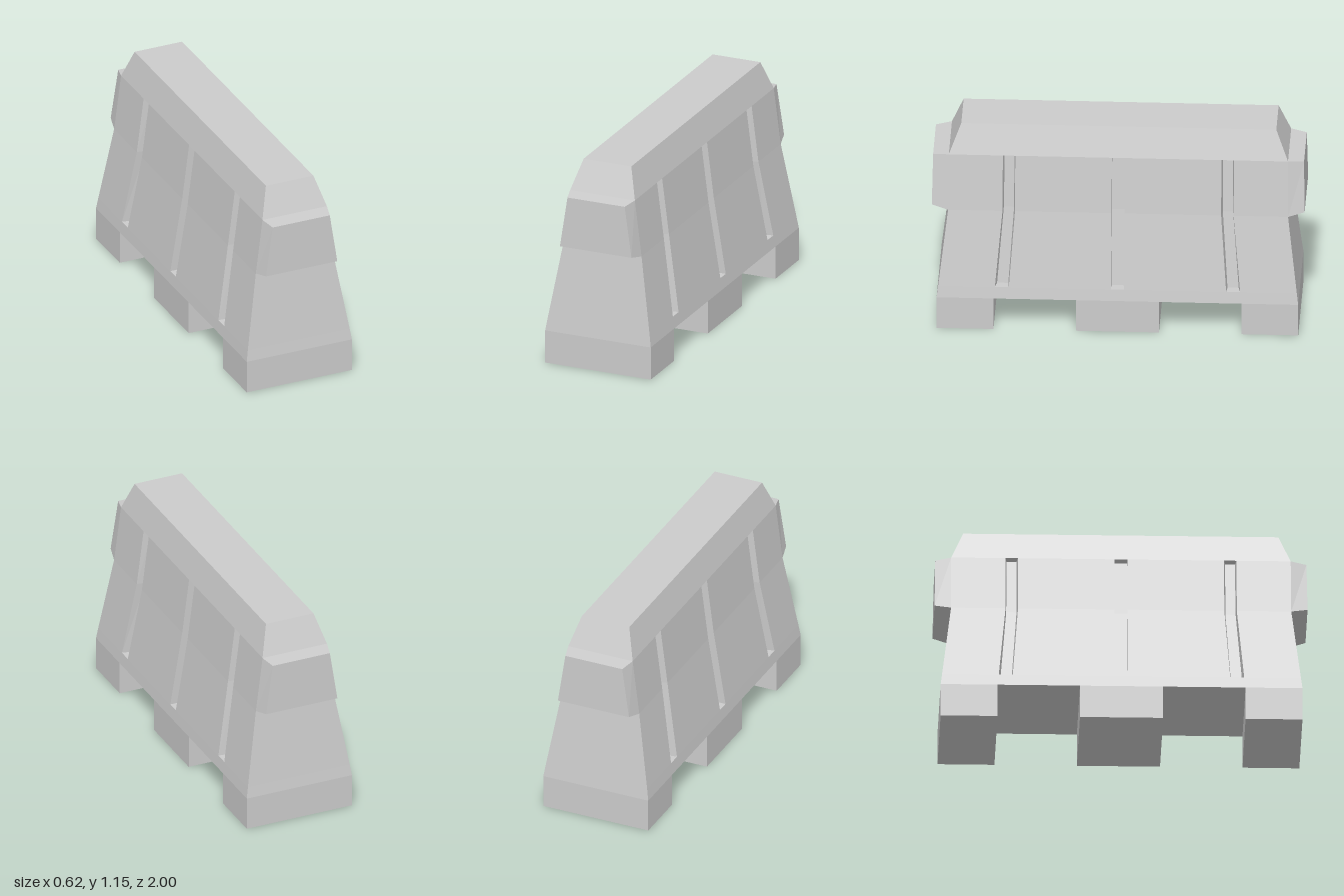
import * as THREE from 'three';

const material = new THREE.MeshStandardMaterial({ color: 0xcccccc, flatShading: true });

// Levels of the tapered body: height, half width, half length
const levels = [
  [0.185, 0.31, 0.97],
  [0.25, 0.3, 0.962],
  [0.675, 0.23, 0.912],
  [0.99, 0.19, 0.91],
  [1.155, 0.14, 0.845],
];
// Outer groove at each of the lower four levels: mouth and back wall z ranges
const grooveMouth = [[0.583, 0.658], [0.583, 0.658], [0.553, 0.62], [0.553, 0.62]];
const grooveBack = [[0.588, 0.648], [0.588, 0.648], [0.56, 0.615], [0.56, 0.612]];
const grooveHalf = 0.035;
const grooveDepth = 0.05;

// Flat mesh from four-cornered faces, corners counter-clockwise from outside
function facesMesh(name, quads) {
  const positions = [];
  for (const [a, b, c, d] of quads) positions.push(...a, ...b, ...c, ...a, ...c, ...d);
  const geometry = new THREE.BufferGeometry();
  geometry.setAttribute('position', new THREE.Float32BufferAttribute(positions, 3));
  geometry.computeVertexNormals();
  const mesh = new THREE.Mesh(geometry, material);
  mesh.name = name;
  return mesh;
}

// z of the column lines along the side at one level
function columns([near, far], end) {
  return [-end, -far, -near, -grooveHalf, grooveHalf, near, far, end];
}

// Long +x side wall, with three sunken grooves
function sideWall() {
  const wall = [], grooves = [];
  const mouth = (i, j) => [levels[i][1], levels[i][0], columns(grooveMouth[i], levels[i][2])[j]];
  const back = (i, j) => [levels[i][1] - grooveDepth, levels[i][0], columns(grooveBack[i], levels[i][2])[j]];
  for (let i = 0; i < 3; i++) {
    for (let j = 0; j < 7; j++) {
      if (i === 0 || j % 2 === 0) {
        wall.push([mouth(i, j + 1), mouth(i, j), mouth(i + 1, j), mouth(i + 1, j + 1)]);
      } else {
        grooves.push(
          [back(i, j + 1), back(i, j), back(i + 1, j), back(i + 1, j + 1)],
          [back(i, j), mouth(i, j), mouth(i + 1, j), back(i + 1, j)],
          [mouth(i, j + 1), back(i, j + 1), back(i + 1, j + 1), mouth(i + 1, j + 1)],
        );
      }
    }
  }
  // Groove floors and ceilings
  for (const j of [1, 3, 5]) {
    grooves.push([back(1, j + 1), mouth(1, j + 1), mouth(1, j), back(1, j)]);
    grooves.push([back(3, j), mouth(3, j), mouth(3, j + 1), back(3, j + 1)]);
  }
  // Sloped shoulder
  const [, , , [y0, x0, z0], [y1, x1, z1]] = levels;
  wall.push([[x0, y0, z0], [x0, y0, -z0], [x1, y1, -z1], [x1, y1, z1]]);
  return [facesMesh('sideWall', wall), facesMesh('sideGrooves', grooves)];
}

// Cross edge at one height: left and right corners
const edge = (y, x, z) => [[-x, y, z], [x, y, z]];
const between = ([a, b], [c, d]) => [a, b, d, c];

// +z end wall and its raised coupling block
function endWall() {
  const e = levels.map((level) => edge(...level));
  const lower = edge(0.695, 0.21, 1);
  const upper = edge(0.98, 0.168, 0.995);
  return [
    facesMesh('endWall', [between(e[0], e[1]), between(e[1], e[2]), between(e[3], e[4])]),
    facesMesh('endBlock', [
      between(e[2], lower),
      between(lower, upper),
      between(upper, e[3]),
      [lower[1], e[2][1], e[3][1], upper[1]],
      [e[2][0], lower[0], upper[0], e[3][0]],
    ]),
  ];
}

export function createModel() {
  const group = new THREE.Group();
  group.name = 'barrier';

  // Half of the shell, repeated by a half turn
  for (const [name, turn] of [['frontLeftShell', 0], ['backRightShell', Math.PI]]) {
    const half = new THREE.Group();
    half.name = name;
    half.add(...sideWall(), ...endWall());
    half.rotation.y = turn;
    group.add(half);
  }

  // Flat top
  const [topY, topX, topZ] = levels[4];
  group.add(facesMesh('top', [between(edge(topY, topX, topZ), edge(topY, topX, -topZ))]));

  // Feet, and the undersides of the two lifting slots between them
  const [footY, footX, footZ] = levels[0];
  const inner = 0.223, outer = 0.665;
  for (const [name, from, to] of [
    ['frontFoot', outer, footZ], ['middleFoot', -inner, inner], ['backFoot', -footZ, -outer],
  ]) {
    const foot = new THREE.Mesh(new THREE.BoxGeometry(2 * footX, footY, to - from), material);
    foot.name = name;
    foot.position.set(0, footY / 2, (from + to) / 2);
    group.add(foot);
  }
  group.add(facesMesh('slotCeilings', [[inner, outer], [-outer, -inner]].map(
    ([from, to]) => between(edge(footY, footX, from), edge(footY, footX, to)),
  )));

  return group;
}
